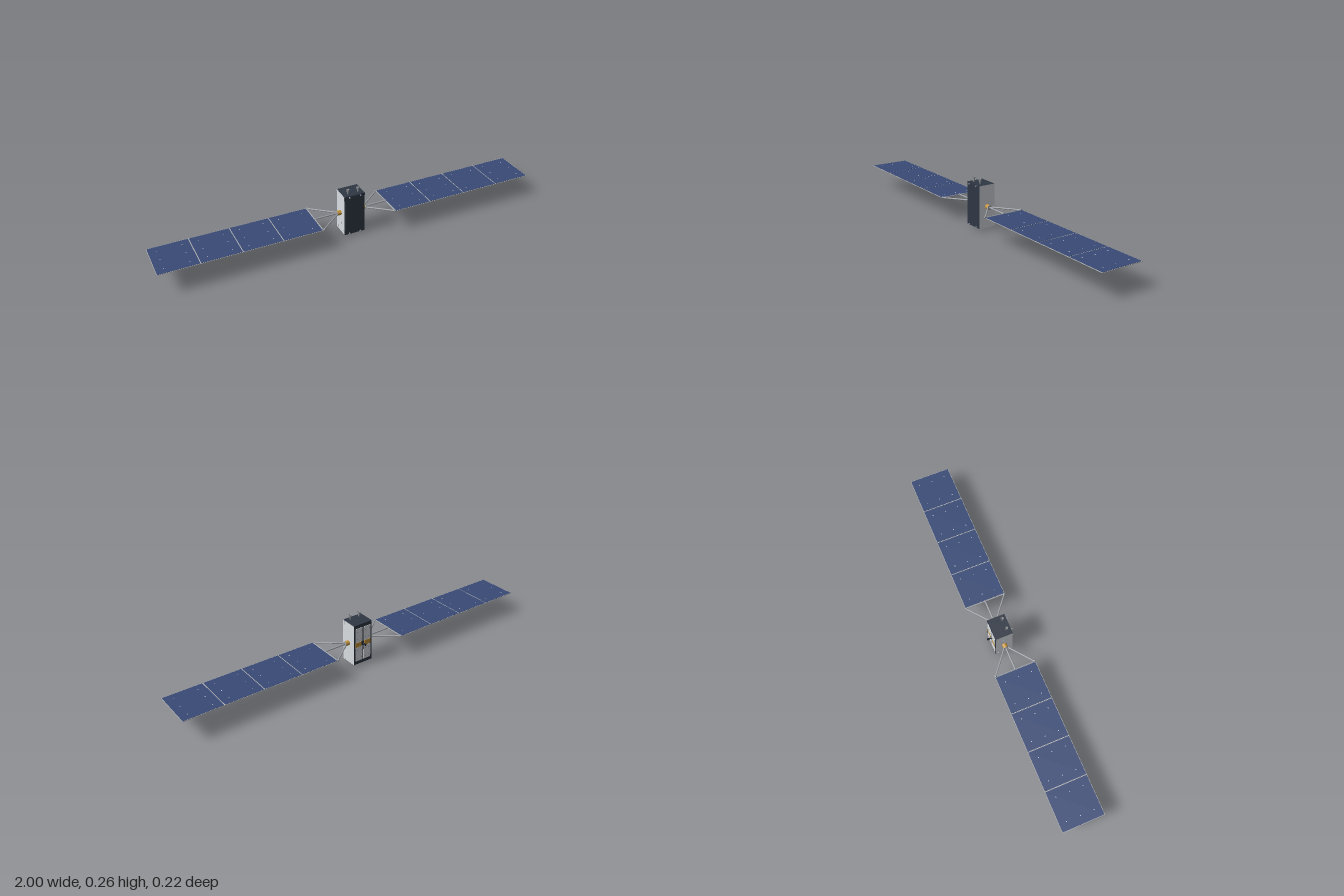
import * as THREE from 'three';

const paint = (name, color) => {
  const m = new THREE.MeshStandardMaterial({ color });
  m.name = name;
  return m;
};

export function createModel() {
  const root = new THREE.Group();
  root.name = 'satellite';
  const slate = paint('dark slate', 0x2f3744);
  const silver = paint('light grey', 0xdadee2);
  const navy = paint('solar cell blue', 0x384a76);
  const backing = paint('panel backing grey', 0xb4b5b6);
  const gold = paint('gold foil', 0xc8963c);
  const metal = paint('strut grey', 0x9da1a6);
  const black = paint('near black', 0x23272e);
  const white = paint('pale fitting', 0xe6e8ea);

  const add = (parent, name, geo, mat, x = 0, y = 0, z = 0) => {
    const m = new THREE.Mesh(geo, mat);
    m.name = name;
    m.position.set(x, y, z);
    parent.add(m);
    return m;
  };
  const box = (parent, name, mat, w, h, d, x, y, z) =>
    add(parent, name, new THREE.BoxGeometry(w, h, d), mat, x, y, z);
  const rod = (parent, name, mat, a, b, r) => {
    const dir = new THREE.Vector3().subVectors(b, a);
    const m = add(parent, name, new THREE.CylinderGeometry(r, r, dir.length(), 12), mat);
    m.position.addVectors(a, b).multiplyScalar(0.5);
    m.quaternion.setFromUnitVectors(new THREE.Vector3(0, 1, 0), dir.normalize());
    return m;
  };

  // Body: light side walls, dark front, back frame, roof and floor
  const body = new THREE.Group();
  body.name = 'body';
  root.add(body);
  const cy = 0.12;
  add(body, 'bodyShell', new THREE.BoxGeometry(0.11, 0.222, 0.09),
    [silver, silver, slate, slate, slate, slate], 0, cy, 0);

  // Front plate and small corner sensors
  box(body, 'frontPlate', slate, 0.104, 0.214, 0.002, 0, cy, 0.0455);
  for (const y of [0.015, 0.225])
    for (const s of [-1, 1])
      box(body, 'frontSensor', metal, 0.005, 0.006, 0.007, s * 0.03, y, 0.0495);

  // Back: two columns of light plates, gold band, central thruster
  for (const s of [-1, 1]) {
    for (const dy of [-1, 1]) {
      box(body, 'backPlate', silver, 0.043, 0.078, 0.003, s * 0.0245, cy + dy * 0.053, -0.0458);
      for (const dx of [-0.012, 0.012])
        for (const e of [-0.022, 0.022])
          box(body, 'backFastener', black, 0.0025, 0.0025, 0.0006,
            s * 0.0245 + dx, cy + dy * 0.053 + e, -0.0475);
    }
    box(body, 'goldPlate', gold, 0.036, 0.026, 0.004, s * 0.027, cy, -0.046);
  }
  const nozzle = add(body, 'rearThruster',
    new THREE.CylinderGeometry(0.003, 0.006, 0.022, 16), black, 0, 0.12, -0.058);
  nozzle.rotation.x = Math.PI / 2;

  // Side wall hatches with thin rims
  for (const s of [-1, 1]) {
    const hatch = (w, h, y, z) => {
      box(body, 'hatchRim', metal, 0.001, h, w, s * 0.0553, y, z);
      box(body, 'hatch', silver, 0.0014, h - 0.001, w - 0.001, s * 0.0555, y, z);
    };
    for (const z of [-0.036, 0.036]) for (const y of [0.02, 0.22]) hatch(0.014, 0.02, y, z);
    for (const y of [0.06, 0.18]) hatch(0.01, 0.01, y, 0);
  }

  // Roof: horn antennas
  const horn = [[0, 0], [0.004, 0], [0.004, 0.008], [0.008, 0.026], [0.0065, 0.026], [0.002, 0.008]]
    .map(p => new THREE.Vector2(...p));
  for (const s of [-1, 1])
    add(body, 'hornAntenna', new THREE.LatheGeometry(horn, 16), metal, s * 0.027, 0.232, 0.023);

  // Floor: gold fittings and feet
  for (const s of [-1, 1]) {
    for (const z of [-0.026, -0.008, 0.01])
      box(body, 'floorGoldFitting', gold, 0.01, 0.005, 0.009, s * 0.025, 0.0068, z);
    box(body, 'floorRail', black, 0.014, 0.003, 0.044, s * 0.025, 0.008, -0.008);
    add(body, 'floorFoot', new THREE.CylinderGeometry(0.003, 0.003, 0.005, 12), black, s * 0.025, 0.0025, -0.008);
  }

  // Solar wings, mirrored left and right
  const wy = 0.12;
  for (const s of [-1, 1]) {
    const wing = new THREE.Group();
    wing.name = s > 0 ? 'leftWing' : 'rightWing';
    root.add(wing);
    const at = (x, z) => new THREE.Vector3(s * x, wy, z);

    // Gold hub with a grey cap, then the three-legged yoke
    rod(wing, 'hub', gold, at(0.055, 0), at(0.076, 0), 0.0125);
    rod(wing, 'hubCap', metal, at(0.076, 0), at(0.079, 0), 0.0127);
    for (const z of [-0.104, 0, 0.104]) {
      rod(wing, 'yokeStrut', metal, at(0.072, z * 0.06), at(0.194, z), 0.004);
      rod(wing, 'yokeFitting', metal, at(0.19, z), at(0.198, z), 0.006);
    }
    rod(wing, 'yokeBar', metal, at(0.196, -0.108), at(0.196, 0.108), 0.003);

    // Four panels: blue cells inside the pale border of the backing sheet
    for (let i = 0; i < 4; i++) {
      const x = s * (0.2985 + i * 0.2005);
      box(wing, 'panelBacking', backing, 0.2, 0.0024, 0.216, x, wy - 0.0008, 0);
      box(wing, 'solarCells', navy, 0.196, 0.0008, 0.212, x, wy + 0.0008, 0);
      for (const dx of [-0.06, 0.06])
        for (const z of [-0.07, 0, 0.07])
          box(wing, 'panelFitting', white, 0.004, 0.0004, 0.004, x + dx, wy + 0.0013, z);
    }
  }
  return root;
}
